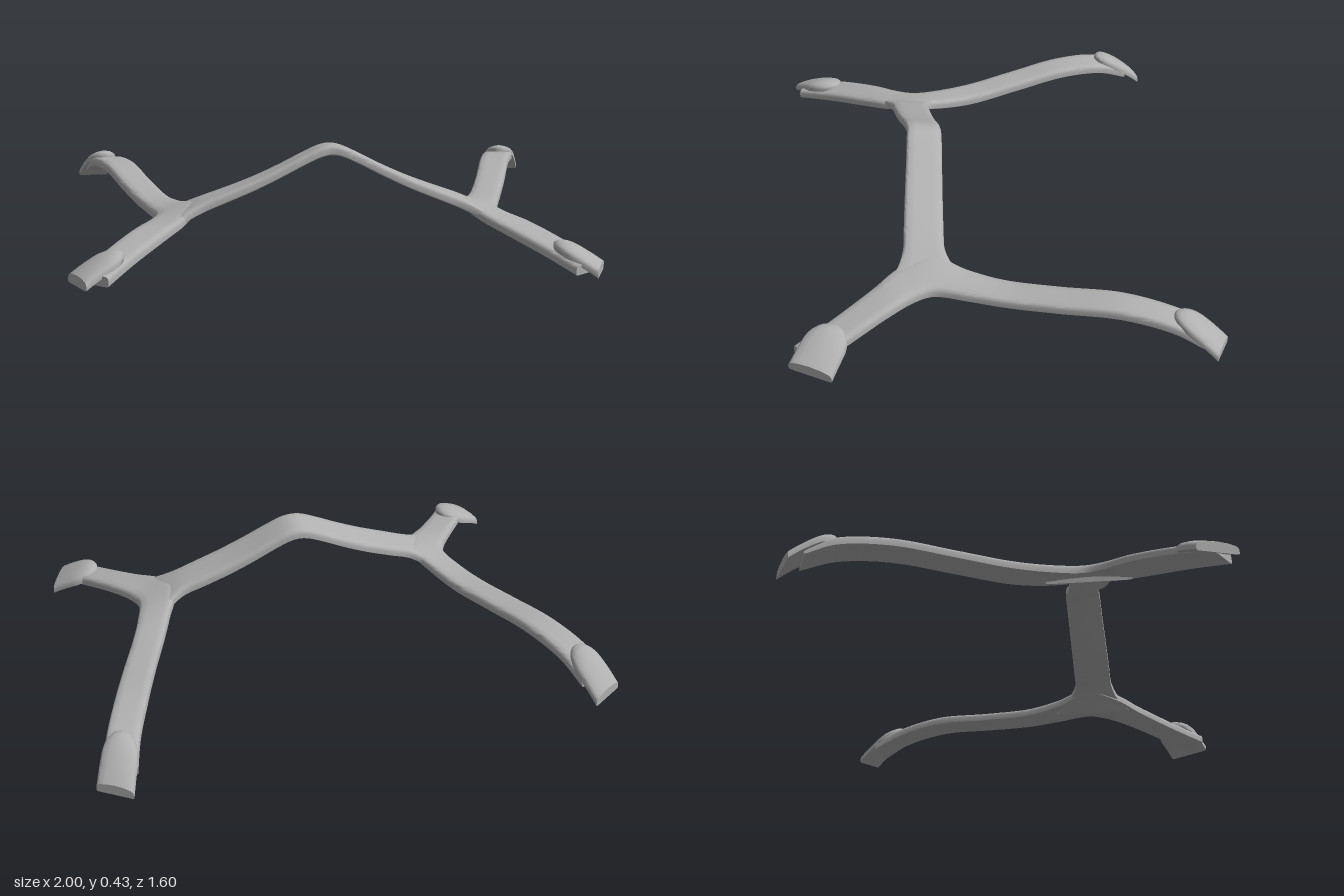
import * as THREE from 'three';
import { toCreasedNormals } from 'three/addons/utils/BufferGeometryUtils.js';

const grey = new THREE.MeshStandardMaterial({ color: 0xb0b0b0 });
grey.name = 'plain grey';

// Section of a strip: [position across, height in thicknesses], over the top and back below
const SECTION = [
  [-1, -0.4], [-1, 0.1], [-0.95, 0.35], [-0.84, 0.48], [-0.5, 0.5], [0, 0.5], [0.5, 0.5],
  [0.84, 0.48], [0.95, 0.35], [1, 0.1], [1, -0.4], [0.92, -0.5], [-0.92, -0.5],
];

// Closed strip through stations { a, b, t, crown }: two edge points, thickness, doming of the top
function loft(stations) {
  const n = SECTION.length, pos = [], index = [];
  for (const { a, b, t, crown = 0 } of stations) {
    for (const [s, h] of SECTION) {
      const p = a.clone().lerp(b, (s + 1) / 2);
      p.y += h * t + (h > 0 ? crown * (1 - s * s) : 0);
      pos.push(p.x, p.y, p.z);
    }
  }
  const last = (stations.length - 1) * n;
  for (let i = 0; i < last; i += n) {
    for (let j = 0; j < n; j++) {
      const k = (j + 1) % n;
      index.push(i + j, i + k, i + n + j, i + k, i + n + k, i + n + j);
    }
  }
  for (let j = 1; j < n - 1; j++) {
    index.push(0, j + 1, j, last, last + j, last + j + 1);
  }
  const g = new THREE.BufferGeometry();
  g.setAttribute('position', new THREE.Float32BufferAttribute(pos, 3));
  g.setIndex(index);
  return toCreasedNormals(g.toNonIndexed(), 0.8);
}

const vec = (p) => new THREE.Vector3(...p);
const flip = (p) => new THREE.Vector3(-p.x, p.y, p.z);
const mirror = (stations) => stations.map((s) => ({ ...s, a: flip(s.b), b: flip(s.a) }));

// Smooth strip between two edge curves
function strip(edgeA, edgeB, t, steps) {
  const ca = new THREE.CatmullRomCurve3(edgeA.map(vec), false, 'centripetal');
  const cb = new THREE.CatmullRomCurve3(edgeB.map(vec), false, 'centripetal');
  return Array.from({ length: steps + 1 }, (_, i) => (
    { a: ca.getPoint(i / steps), b: cb.getPoint(i / steps), t }));
}

// Nail-shaped pad: round at the start, widening to the straight edge between tipA and tipB
function pad(start, tipA, tipB) {
  const s = vec(start), a = vec(tipA), b = vec(tipB);
  const mid = a.clone().lerp(b, 0.5), half = b.clone().sub(a).multiplyScalar(0.5);
  return Array.from({ length: 17 }, (_, i) => {
    const u = (i / 16) ** 1.5;
    const c = s.clone().lerp(mid, u);
    c.y = s.y + (mid.y - s.y) * u ** 1.5;
    const round = Math.sqrt(1 - (1 - Math.min(1, u / 0.5 + 0.004)) ** 2);
    const side = half.clone().multiplyScalar(round * (0.93 + 0.07 * u));
    return {
      a: c.clone().sub(side), b: c.clone().add(side),
      t: 0.015 + 0.015 * round, crown: 0.024 * round * (1 - 0.5 * u),
    };
  });
}

export function createModel() {
  const root = new THREE.Group();
  const frame = new THREE.Group();
  frame.name = 'frame';
  root.add(frame);
  const add = (name, stations) => {
    const m = new THREE.Mesh(loft(stations), grey);
    m.name = name;
    frame.add(m);
  };

  // Peaked crossbar, rows of: x, back y, back z, front y, front z
  const half = [
    [0, 0.395, 0.18, 0.415, 0.313], [0.04, 0.388, 0.181, 0.408, 0.317],
    [0.1, 0.362, 0.185, 0.382, 0.322], [0.2, 0.312, 0.191, 0.332, 0.332],
    [0.3, 0.268, 0.197, 0.286, 0.342], [0.4, 0.231, 0.202, 0.246, 0.351],
    [0.49, 0.2, 0.203, 0.21, 0.36], [0.56, 0.165, 0.17, 0.178, 0.388],
    [0.61, 0.137, 0.12, 0.148, 0.435],
  ];
  const rows = [...half.slice(1).reverse().map(([x, ...r]) => [-x, ...r]), ...half];
  add('crossbar', strip(
    rows.map(([x, y, z]) => [x, y, z]), rows.map(([x, , , y, z]) => [x, y, z]), 0.038, 96));

  // Side strip from the back foot through the junction to the front foot
  const side = strip(
    [[0.965, 0.085, -0.68], [0.935, 0.135, -0.58], [0.872, 0.162, -0.4], [0.8, 0.147, -0.18],
      [0.738, 0.135, 0], [0.692, 0.138, 0.14], [0.665, 0.146, 0.26], [0.69, 0.146, 0.33],
      [0.75, 0.14, 0.42], [0.85, 0.11, 0.57], [0.93, 0.075, 0.7]],
    [[0.85, 0.085, -0.72], [0.815, 0.135, -0.6], [0.752, 0.162, -0.42], [0.682, 0.147, -0.2],
      [0.612, 0.137, 0], [0.562, 0.155, 0.13], [0.51, 0.192, 0.26], [0.555, 0.172, 0.385],
      [0.63, 0.145, 0.48], [0.745, 0.108, 0.635], [0.83, 0.078, 0.765]],
    0.038, 80);
  const backPad = pad([0.868, 0.155, -0.588], [0.88, 0.033, -0.79], [1.0, 0.05, -0.725]);
  const frontPad = pad([0.785, 0.125, 0.615], [0.975, 0.052, 0.635], [0.905, 0.068, 0.785]);

  for (const [name, fix] of [['left', (s) => s], ['right', mirror]]) {
    add(name + 'Arm', fix(side));
    add(name + 'BackPad', fix(backPad));
    add(name + 'FrontPad', fix(frontPad));
  }

  // Slight lean and twist, then rest on the ground
  frame.rotation.set(0, 0.015, -0.018);
  root.updateMatrixWorld(true);
  const box = new THREE.Box3().setFromObject(root, true);
  const c = box.getCenter(new THREE.Vector3());
  frame.position.set(-c.x, -box.min.y, -c.z);
  return root;
}
